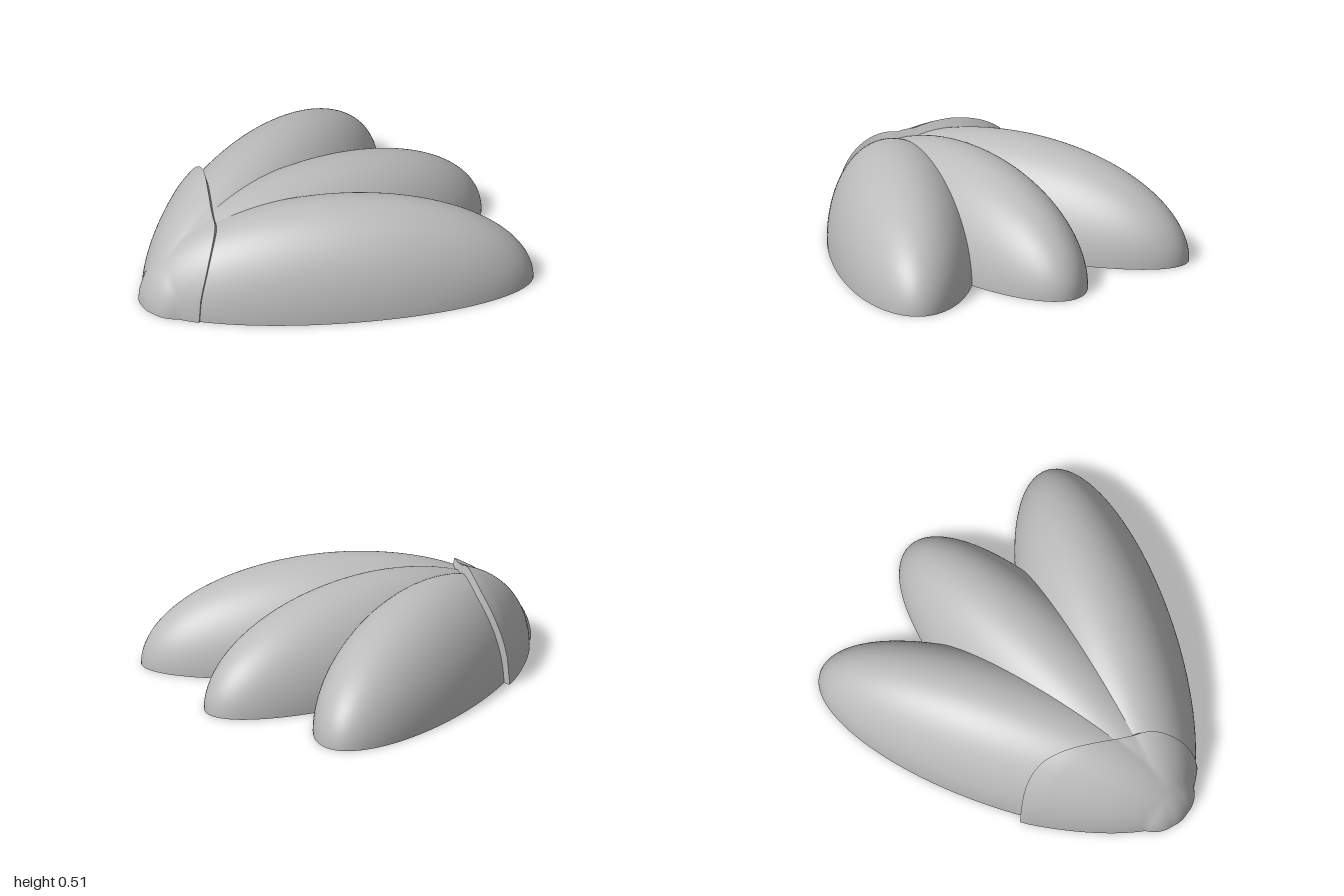
import * as THREE from 'three';

const A = 1, B = 0.365, H = 0.508;          // lobe half length, half width, height
const PIVOT = -0.78, REACH = 0.78;          // fan pivot and distance to each lobe centre
const ANGLES = [-26, 0, 26].map(THREE.MathUtils.degToRad);

// Height of the three-lobe surface above (x, z), swollen by a clearance; negative outside
function heightAt(x, z, gap) {
  let best = -1;
  for (const t of ANGLES) {
    const dx = x - PIVOT, c = Math.cos(t), s = Math.sin(t);
    const u = (dx * c + z * s - REACH) / (A + gap), v = (z * c - dx * s) / (B + gap);
    const k = 1 - u * u - v * v;
    best = Math.max(best, k > 0 ? (H + 1.4 * gap) * Math.sqrt(k) : k);
  }
  return best;
}

// The cap lifts off the lobes towards its free edge
const gapAt = x => 0.002 + 0.034 * THREE.MathUtils.clamp((x + 1) / 0.5, 0, 1);
const capHeight = (x, z) => heightAt(x, z, gapAt(x));

// Surface through equal-length rows of points
function loft(rows) {
  const n = rows[0].length, pos = [], index = [];
  rows.forEach(r => r.forEach(p => pos.push(p.x, p.y, p.z)));
  for (let j = 0; j < rows.length - 1; j++) {
    for (let i = 0; i < n - 1; i++) {
      const a = j * n + i, b = a + 1, d = a + n, c = d + 1;
      index.push(a, d, c, a, c, b);
    }
  }
  const g = new THREE.BufferGeometry();
  g.setAttribute('position', new THREE.Float32BufferAttribute(pos, 3));
  g.setIndex(index);
  g.computeVertexNormals();
  return g;
}

export function createModel() {
  const group = new THREE.Group();
  const grey = new THREE.MeshStandardMaterial({ color: 0xbcbcbc, side: THREE.DoubleSide });
  grey.name = 'grey';
  const add = (parent, name, geometry) => {
    const mesh = new THREE.Mesh(geometry, grey);
    mesh.name = name;
    parent.add(mesh);
    return mesh;
  };

  // Three half ellipsoids fanned out from one pivot, each with a flat base
  ANGLES.forEach((t, i) => {
    const lobe = new THREE.Group();
    lobe.name = ['backLobe', 'middleLobe', 'frontLobe'][i];
    lobe.position.set(PIVOT + REACH * Math.cos(t), 0, REACH * Math.sin(t));
    lobe.rotation.y = -t;
    add(lobe, 'dome', new THREE.SphereGeometry(1, 96, 40, 0, Math.PI * 2, 0, Math.PI / 2).scale(A, H, B));
    add(lobe, 'base', new THREE.CircleGeometry(1, 96).rotateX(Math.PI / 2).scale(A, 1, B));
    group.add(lobe);
  });

  // Cap outline on the ground, found along rays from a point inside it
  const N = 72, M = 28, centre = new THREE.Vector3(-0.7, 0, -0.1);
  const start = Math.atan2(0.35, -0.15), end = Math.atan2(-0.48, 0.24) + Math.PI * 2;
  const outline = [];
  for (let i = 0; i <= N; i++) {
    const a = start + (end - start) * i / N;
    let lo = 0, hi = 1;
    for (let k = 0; k < 40; k++) {
      const r = (lo + hi) / 2;
      if (capHeight(centre.x + r * Math.cos(a), centre.z + r * Math.sin(a)) > 0) lo = r; else hi = r;
    }
    outline.push(new THREE.Vector3(centre.x + lo * Math.cos(a), 0, centre.z + lo * Math.sin(a)));
  }

  // Free edge of the cap in plan, from the front foot to the back foot
  const plan = [[-0.79, 0.23], [-0.67, 0.125], [-0.6, -0.01], [-0.53, -0.15], [-0.45, -0.31], [-0.415, -0.42], [-0.42, -0.52]]
    .map(([x, z]) => new THREE.Vector3(x, 0, z));
  const edge = new THREE.CatmullRomCurve3([outline[0], ...plan, outline[N]]).getSpacedPoints(N);

  // Cap skin from the outline up to the free edge
  const rows = [];
  for (let j = 0; j <= M; j++) {
    const t = (j / M) ** 2;
    rows.push(outline.map((p, i) => {
      const q = p.clone().lerp(edge[i], t);
      q.y = j === 0 ? 0 : Math.max(0, capHeight(q.x, q.z));
      return q;
    }));
  }
  const cap = new THREE.Group();
  cap.name = 'cap';
  add(cap, 'capSkin', loft(rows));

  // Thickness of the free edge, running inwards to the lobes
  const rim = rows[M];
  const inner = rim.map(p => {
    const q = p.clone().lerp(new THREE.Vector3(-0.35, 0, -0.1), 0.1);
    q.y = Math.max(0, Math.min(p.y, heightAt(p.x, p.z, 0)) - 0.01);
    return q;
  });
  add(cap, 'capRim', loft([rim, inner]));
  add(cap, 'capBase', loft([outline.map(() => centre), outline]));
  group.add(cap);
  return group;
}
